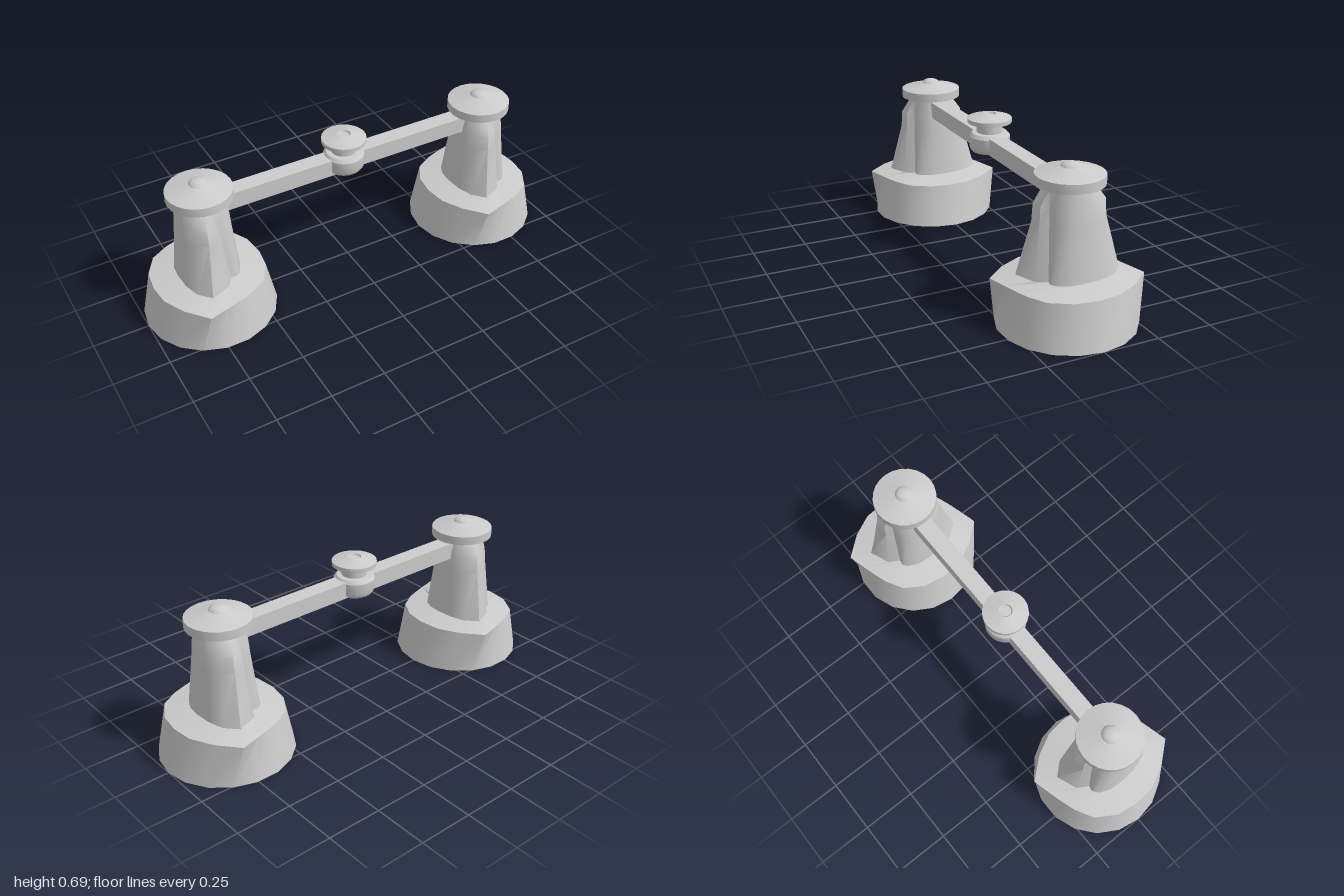
import * as THREE from 'three';
import { toCreasedNormals } from 'three/addons/utils/BufferGeometryUtils.js';

const material = new THREE.MeshStandardMaterial({ color: 0xcccccc });

function addMesh(parent, name, geometry, x = 0, y = 0, z = 0) {
  const mesh = new THREE.Mesh(geometry, material);
  mesh.name = name;
  mesh.position.set(x, y, z);
  parent.add(mesh);
  return mesh;
}

// Half a cross-section [x, z] repeated by a half turn about the vertical axis
const pinwheel = (half) => [...half, ...half.map(([x, z]) => [-x, -z])];

// Nine points from front to back on a circle
const halfCircle = (r) => Array.from({ length: 9 }, (_, i) => {
  const t = THREE.MathUtils.degToRad(10 + i * 20);
  return [r * Math.sin(t), r * Math.cos(t)];
});

// Skin between stacked cross-sections { y, half }
function loft(sections, crease) {
  const rings = sections.map(({ y, half }) => pinwheel(half).map(([x, z]) => [x, y, z]));
  const n = rings[0].length;
  const index = [];
  for (let i = 0; i < rings.length - 1; i++) {
    for (let j = 0; j < n; j++) {
      const k = (j + 1) % n;
      const a = i * n + j, b = i * n + k, c = a + n, d = b + n;
      index.push(a, b, d, a, d, c);
    }
  }
  const geometry = new THREE.BufferGeometry();
  geometry.setAttribute('position', new THREE.Float32BufferAttribute(rings.flat(2), 3));
  geometry.setIndex(index);
  return toCreasedNormals(geometry, crease);
}

// Turned part from [radius, y] points
function turned(points, segments = 24) {
  const profile = points.map(([r, y]) => new THREE.Vector2(r, y));
  return toCreasedNormals(new THREE.LatheGeometry(profile, segments), 0.55);
}

// Outline of the base's upper rim, drawn out to a corner at the back
const rim = [[0.04, 0.255], [0.1, 0.235], [0.18, 0.19], [0.235, 0.1], [0.25, 0],
  [0.24, -0.1], [0.19, -0.2], [0.11, -0.295], [0.02, -0.272]];

// Column outlines: each half wraps round into a fin beside a groove
const columnFoot = [[0.06, 0.12], [0.085, 0.125], [0.11, 0.105], [0.13, 0.06], [0.135, 0],
  [0.13, -0.08], [0.11, -0.15], [0.06, -0.205], [-0.03, -0.17]];
const columnMiddle = [[0.035, 0.108], [0.06, 0.103], [0.09, 0.085], [0.11, 0.05], [0.118, 0],
  [0.112, -0.06], [0.085, -0.115], [0.035, -0.15], [-0.015, -0.14]];
const columnShoulder = [[0.025, 0.103], [0.055, 0.1], [0.085, 0.08], [0.106, 0.045], [0.112, 0],
  [0.107, -0.055], [0.08, -0.11], [0.035, -0.145], [-0.01, -0.135]];

function createBollard() {
  const bollard = new THREE.Group();
  bollard.name = 'bollard';

  // Round foot rising to the twisted rim
  addMesh(bollard, 'base', loft([
    { y: 0, half: halfCircle(0.297) },
    { y: 0.2, half: rim },
  ], 0.7));
  const underside = addMesh(bollard, 'baseUnderside', new THREE.CircleGeometry(0.297, 18));
  underside.rotation.set(Math.PI / 2, 0, THREE.MathUtils.degToRad(0));

  // Shallow ledge on top of the base
  addMesh(bollard, 'ledge', loft([
    { y: 0.2, half: rim },
    { y: 0.22, half: columnFoot },
  ], 0.7));

  // Tapering column
  addMesh(bollard, 'column', loft([
    { y: 0.22, half: columnFoot },
    { y: 0.45, half: columnMiddle },
    { y: 0.523, half: columnShoulder },
    { y: 0.592, half: halfCircle(0.1) },
  ], 0.8));

  // Flat cap with a small knob
  addMesh(bollard, 'cap', turned([[0, 0.588], [0.1, 0.588], [0.143, 0.6], [0.143, 0.64],
    [0.04, 0.668], [0.034, 0.677], [0.022, 0.683], [0, 0.685]]));
  return bollard;
}

export function createModel() {
  const model = new THREE.Group();
  model.name = 'mooringFrame';

  for (const [name, x] of [['rightBollard', -0.704], ['leftBollard', 0.704]]) {
    const bollard = createBollard();
    bollard.name = name;
    bollard.position.x = x;
    model.add(bollard);
  }

  // Crossbar in two lengths meeting at the centre drum
  addMesh(model, 'rightBar', new THREE.BoxGeometry(0.6, 0.078, 0.078), -0.33, 0.55, 0);
  addMesh(model, 'leftBar', new THREE.BoxGeometry(0.63, 0.076, 0.078), 0.305, 0.554, 0);

  // Centre drum, neck and flange with a recessed top
  addMesh(model, 'centreDrum', turned([[0, 0.515], [0.08, 0.515], [0.09, 0.53], [0.092, 0.585],
    [0.08, 0.6], [0.058, 0.602], [0.058, 0.638], [0.1, 0.648], [0.1, 0.667],
    [0.03, 0.685], [0.025, 0.677], [0, 0.677]]), -0.018);

  return model;
}
